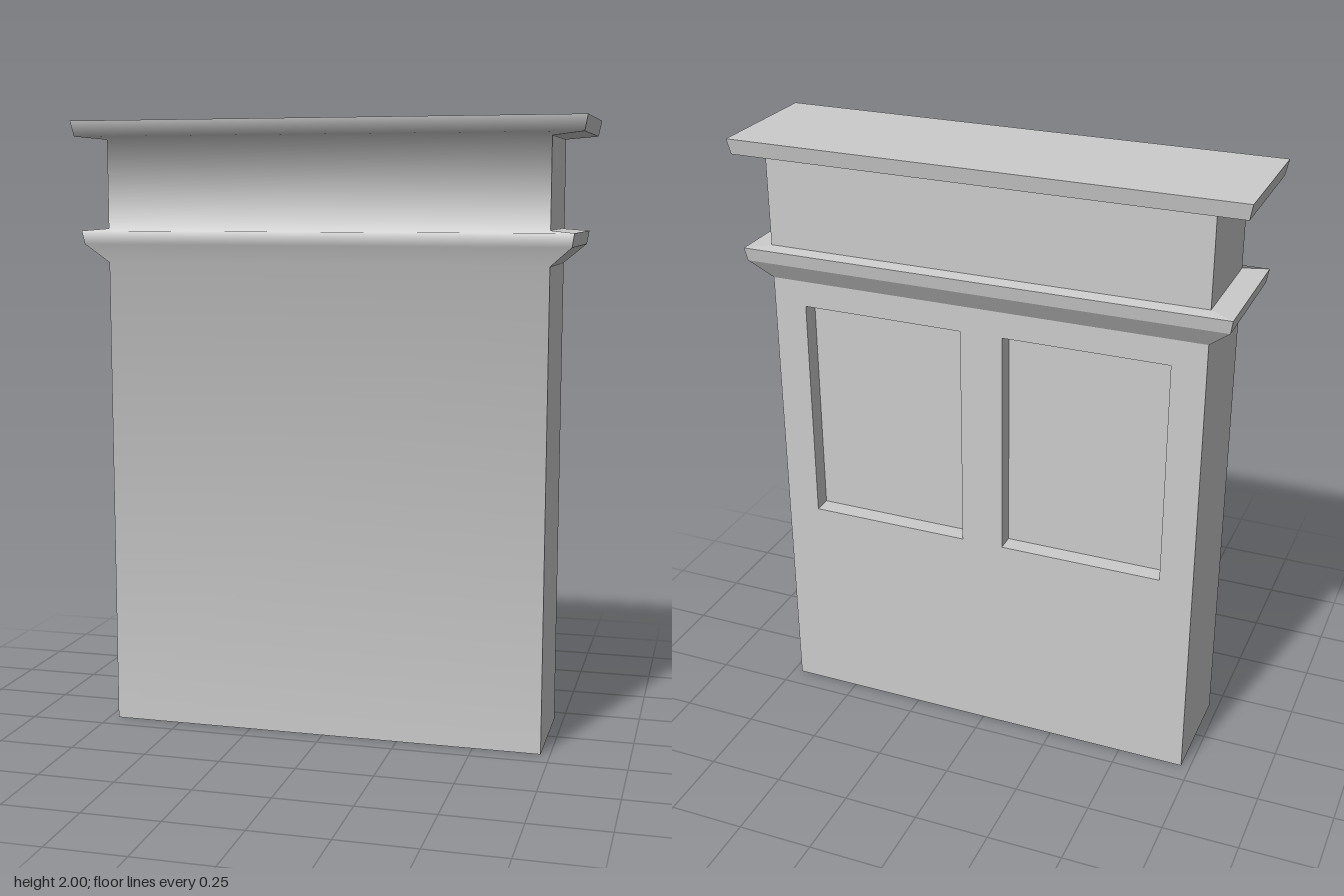
import * as THREE from 'three';

// Rectangular sections from the floor up: half width, height, front depth, back depth
const RINGS = [
  [0.72, 0, 0.18, 0.12],
  [0.72, 1.545, 0.18, 0.12],
  [0.72, 1.545, 0.18, 0.18], // back steps out over the panelled plate
  [0.79, 1.605, 0.215, 0.215],
  [0.797, 1.648, 0.222, 0.222],
  [0.72, 1.655, 0.18, 0.18],
  [0.72, 1.94, 0.18, 0.18],
  [0.82, 1.95, 0.215, 0.215],
  [0.83, 2, 0.223, 0.223],
];

const corners = ([w, y, f, b]) => [[w, y, f], [w, y, -b], [-w, y, -b], [-w, y, f]];

function geometryFrom(positions, normals, indices) {
  const g = new THREE.BufferGeometry();
  g.setAttribute('position', new THREE.Float32BufferAttribute(positions, 3));
  if (normals) g.setAttribute('normal', new THREE.Float32BufferAttribute(normals, 3));
  else g.computeVertexNormals();
  if (indices) g.setIndex(indices);
  return g;
}

// Crisp ends, back, base and top
function shellGeometry() {
  const p = [];
  const quad = (a, b, c, d) => p.push(...a, ...b, ...c, ...a, ...c, ...d);
  const loops = RINGS.map(corners);
  for (let i = 0; i < loops.length - 1; i++) {
    for (let k = 0; k < 3; k++) {
      quad(loops[i][k], loops[i][k + 1], loops[i + 1][k + 1], loops[i + 1][k]);
    }
  }
  const [a, b, c, d] = loops[0];
  quad(d, c, b, a);
  quad(...loops[loops.length - 1]);
  return geometryFrom(p);
}

// Front moulding, with normals blended evenly across the profile
function frontGeometry() {
  const rows = RINGS.filter((_, i) => i !== 2);
  const faceNormal = (i) => {
    if (i < 0 || i >= rows.length - 1) return new THREE.Vector3();
    const dy = rows[i + 1][1] - rows[i][1];
    const dz = rows[i + 1][2] - rows[i][2];
    return new THREE.Vector3(0, -dz, dy).normalize();
  };
  const p = [], n = [], idx = [];
  rows.forEach(([w, y, z], i) => {
    const m = faceNormal(i - 1).add(faceNormal(i)).normalize();
    p.push(-w, y, z, w, y, z);
    n.push(m.x, m.y, m.z, m.x, m.y, m.z);
    if (i) {
      const k = 2 * i;
      idx.push(k - 2, k - 1, k + 1, k - 2, k + 1, k);
    }
  });
  return geometryFrom(p, n, idx);
}

function rectangle(path, x0, y0, x1, y1) {
  path.moveTo(x0, y0);
  path.lineTo(x1, y0);
  path.lineTo(x1, y1);
  path.lineTo(x0, y1);
  path.closePath();
  return path;
}

// Back plate pierced by two recessed panels
function backPlateGeometry() {
  const shape = rectangle(new THREE.Shape(), -0.72, 0, 0.72, 1.545);
  for (const side of [-1, 1]) {
    const x0 = side < 0 ? -0.61 : 0.07;
    shape.holes.push(rectangle(new THREE.Path(), x0, 0.71, x0 + 0.54, 1.46));
  }
  const g = new THREE.ExtrudeGeometry(shape, { depth: 0.06, bevelEnabled: false });
  return g.translate(0, 0, -0.18);
}

export function createModel() {
  const group = new THREE.Group();
  group.name = 'panelledPier';
  const material = new THREE.MeshStandardMaterial({ color: 0xcccccc });
  const add = (name, geometry) => {
    const mesh = new THREE.Mesh(geometry, material);
    mesh.name = name;
    group.add(mesh);
  };
  add('bodyAndCornice', shellGeometry());
  add('frontMoulding', frontGeometry());
  add('backPanelFrame', backPlateGeometry());
  return group;
}
